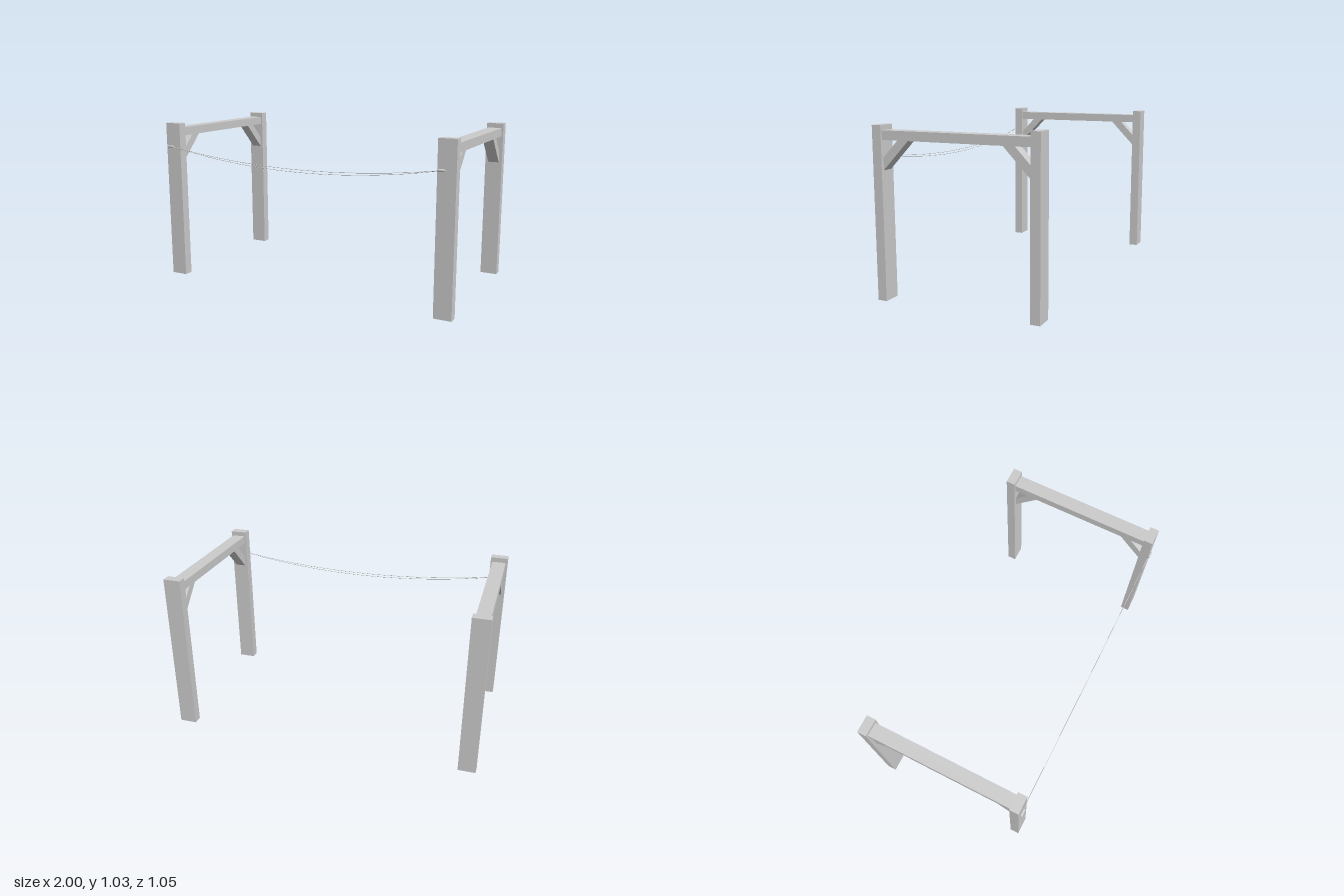
import * as THREE from 'three';

const material = new THREE.MeshStandardMaterial({ color: 0xcccccc, flatShading: true });

function add(parent, geometry, name, x = 0, y = 0, z = 0) {
  const mesh = new THREE.Mesh(geometry, material);
  mesh.name = name;
  mesh.position.set(x, y, z);
  parent.add(mesh);
  return mesh;
}

// Diagonal brace: outline in (z, y), extruded across x
function braceGeometry(postZ, inward, width) {
  const outline = [[0, 0.772], [0, 0.844], [0.097, 0.946], [0.168, 0.946]];
  const shape = new THREE.Shape(outline.map(([d, y]) => new THREE.Vector2(postZ + inward * d, y)));
  const geometry = new THREE.ExtrudeGeometry(shape, { depth: width, bevelEnabled: false });
  geometry.translate(0, 0, -width / 2);
  return geometry.rotateY(-Math.PI / 2);
}

// Two posts, a beam between them and a brace in each corner
function createFrame(name, x) {
  const frame = new THREE.Group();
  frame.name = name;
  frame.position.x = x;
  const post = new THREE.BoxGeometry(0.11, 1.03, 0.058);
  add(frame, post, 'frontPost', 0, 0.515, 0.482);
  add(frame, post, 'backPost', 0, 0.515, -0.497);
  add(frame, new THREE.BoxGeometry(0.087, 0.054, 0.921), 'beam', 0, 0.973, -0.0075);
  add(frame, braceGeometry(0.453, -1, 0.07), 'frontBrace');
  add(frame, braceGeometry(-0.468, 1, 0.07), 'backBrace');
  return frame;
}

// Thin wire hanging between the two front posts
function wireGeometry(sag) {
  const points = [];
  for (let i = 0; i <= 8; i++) {
    const t = i / 4 - 1;
    points.push(new THREE.Vector3(t * 0.94, 0.865 - 0.008 * t - sag * (1 - t * t), 0.5125));
  }
  return new THREE.TubeGeometry(new THREE.CatmullRomCurve3(points), 32, 0.0015, 6, false);
}

export function createModel() {
  const model = new THREE.Group();
  model.name = 'postFramesWithWire';
  model.add(createFrame('leftFrame', 0.943), createFrame('rightFrame', -0.943));

  add(model, wireGeometry(0.074), 'upperWire');
  add(model, wireGeometry(0.09), 'lowerWire');

  // Small round clips holding the wire ends
  const clip = new THREE.CylinderGeometry(0.008, 0.008, 0.044, 12).rotateZ(Math.PI / 2);
  add(model, clip, 'rightClip', -0.96, 0.875, 0.518);
  add(model, clip, 'leftClip', 0.912, 0.855, 0.518);
  return model;
}
